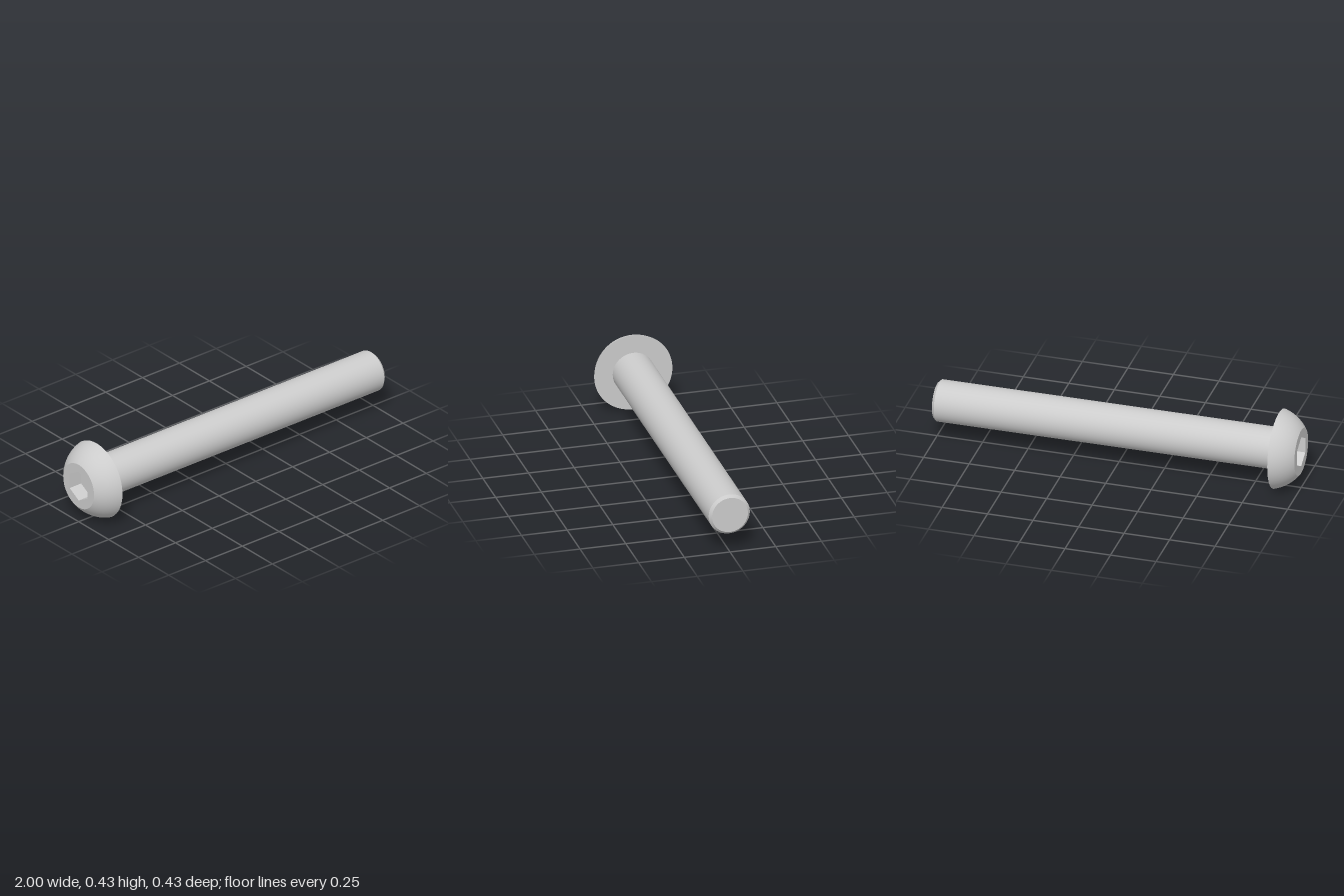
import * as THREE from 'three';

const HEAD_R = 0.214, FACE_R = 0.128, SHAFT_R = 0.1125, TIP_R = 0.098;
const FACE_X = -1, RIM_X = -0.877, CHAMFER_X = 0.985, TIP_X = 1;
const HEX_R = 0.0866, HEX_DEPTH = 0.078;
const SEGMENTS = 96;

export function createModel() {
  const model = new THREE.Group();
  model.name = 'buttonHeadBolt';
  const material = new THREE.MeshStandardMaterial({ color: 0xcccccc });

  const add = (parent, name, geometry, mat = material) => {
    const mesh = new THREE.Mesh(geometry, mat);
    mesh.name = name;
    parent.add(mesh);
    return mesh;
  };
  // Profile of [radius, x] pairs turned about the x axis
  const turned = (parent, name, profile) => {
    const points = profile.map(([r, x]) => new THREE.Vector2(r, x));
    return add(parent, name, new THREE.LatheGeometry(points, SEGMENTS).rotateZ(-Math.PI / 2));
  };

  const head = new THREE.Group();
  head.name = 'head';
  const shaft = new THREE.Group();
  shaft.name = 'shaft';
  model.add(head, shaft);

  // Domed head: a spherical zone between the flat face and the rim
  const height = RIM_X - FACE_X;
  const offset = (HEAD_R ** 2 - FACE_R ** 2 - height ** 2) / (2 * height);
  const radius = Math.hypot(HEAD_R, offset);
  const start = Math.atan2(FACE_R, offset + height);
  const end = Math.atan2(HEAD_R, offset);
  const dome = [];
  for (let i = 0; i <= 16; i++) {
    const a = start + (end - start) * i / 16;
    dome.push([radius * Math.sin(a), RIM_X + offset - radius * Math.cos(a)]);
  }
  turned(head, 'dome', dome);
  turned(head, 'headUnderside', [[HEAD_R, RIM_X], [SHAFT_R, RIM_X]]);

  // Flat face with the hexagonal opening, corner pointing up
  const face = new THREE.Shape().absarc(0, 0, FACE_R, 0, Math.PI * 2);
  const corners = [];
  for (let i = 0; i < 6; i++) {
    const a = Math.PI / 2 - i * Math.PI / 3;
    corners.push(new THREE.Vector2(HEX_R * Math.cos(a), HEX_R * Math.sin(a)));
  }
  face.holes.push(new THREE.Path(corners));
  add(head, 'headFace', new THREE.ShapeGeometry(face, SEGMENTS / 2)
    .rotateY(-Math.PI / 2).translate(FACE_X, 0, 0));

  // Hex socket walls and floor
  const wallMaterial = new THREE.MeshStandardMaterial({
    color: 0xcccccc, flatShading: true, side: THREE.DoubleSide,
  });
  add(head, 'socketWalls',
    new THREE.CylinderGeometry(HEX_R, HEX_R, HEX_DEPTH, 6, 1, true, Math.PI / 2)
      .rotateZ(-Math.PI / 2).translate(FACE_X + HEX_DEPTH / 2, 0, 0), wallMaterial);
  add(head, 'socketFloor', new THREE.CircleGeometry(HEX_R, 6, Math.PI / 2)
    .rotateY(-Math.PI / 2).translate(FACE_X + HEX_DEPTH, 0, 0));

  // Plain shaft with a chamfered tip
  turned(shaft, 'shaftBody', [[SHAFT_R, RIM_X], [SHAFT_R, CHAMFER_X]]);
  turned(shaft, 'tipChamfer', [[SHAFT_R, CHAMFER_X], [TIP_R, TIP_X]]);
  add(shaft, 'tipFace', new THREE.CircleGeometry(TIP_R, SEGMENTS)
    .rotateY(Math.PI / 2).translate(TIP_X, 0, 0));

  model.position.y = HEAD_R;
  return model;
}
